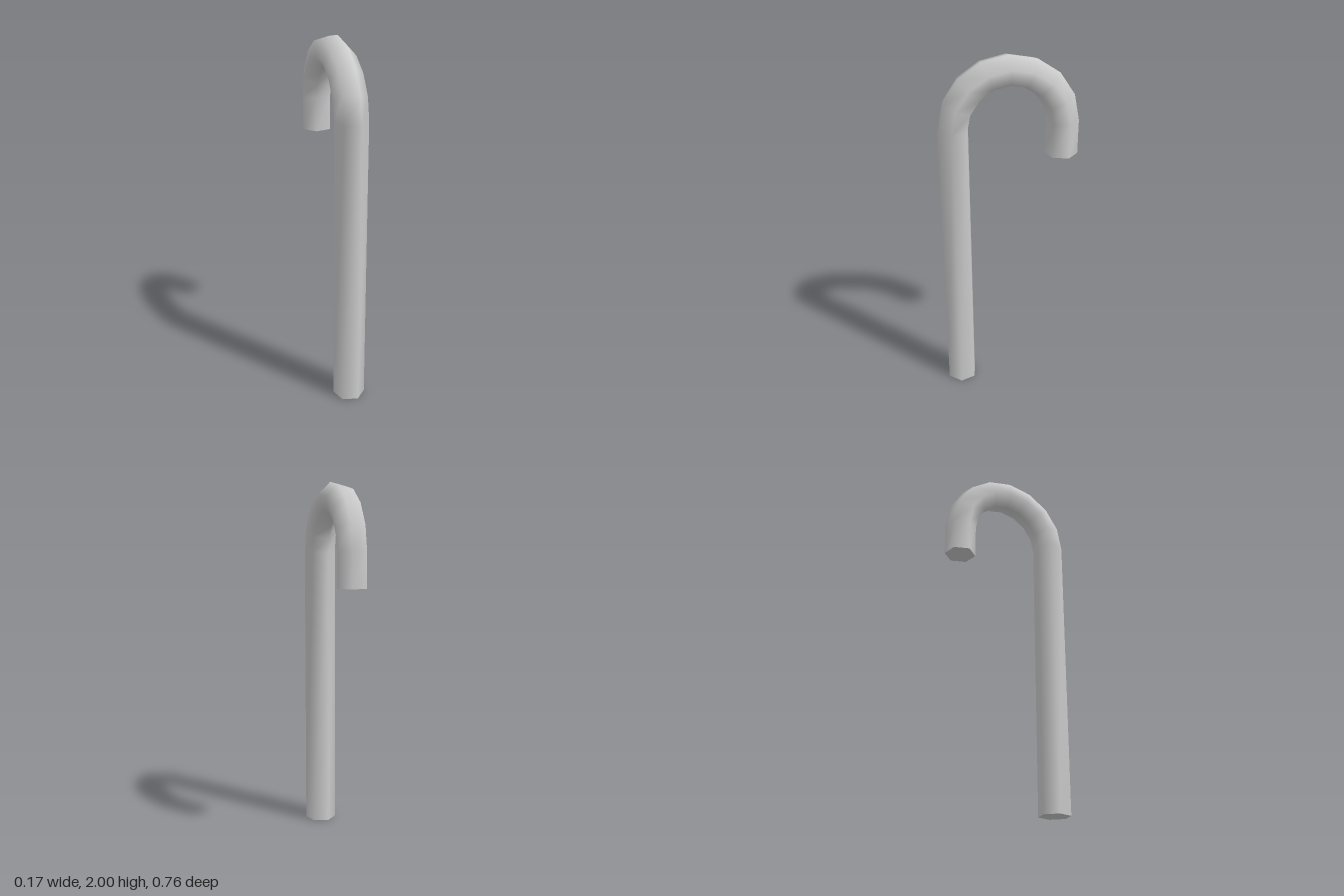
import * as THREE from 'three';

const SIDES = 6, BENDS = 8;
const TUBE_R = 0.0885, PHASE = THREE.MathUtils.degToRad(13); // hexagonal section, slightly twisted
const ARC_R = 0.294, ARC_Y = 1.62, TIP_Y = 1.43;

// One ring of the section, swung by angle t around the centre of the crook
function ring(t, y) {
  return Array.from({ length: SIDES }, (_, i) => {
    const a = PHASE + (i / SIDES) * Math.PI * 2;
    const r = ARC_R + TUBE_R * Math.sin(a);
    return [TUBE_R * Math.cos(a), y + r * Math.sin(t), r * Math.cos(t)];
  });
}

function makeGeometry(points, index) {
  const g = new THREE.BufferGeometry();
  g.setAttribute('position', new THREE.Float32BufferAttribute(points.flat(), 3));
  g.setIndex(index);
  g.computeVertexNormals();
  return g;
}

// Smooth skin joining consecutive rings
function skin(rings) {
  const index = [];
  for (let k = 0; k < rings.length - 1; k++) {
    for (let i = 0; i < SIDES; i++) {
      const j = (i + 1) % SIDES;
      const a = k * SIDES + i, b = k * SIDES + j;
      index.push(a, a + SIDES, b, b, a + SIDES, b + SIDES);
    }
  }
  return makeGeometry(rings.flat(), index);
}

// Flat cap over one ring
function cap(points) {
  const index = [];
  for (let i = 1; i < SIDES - 1; i++) index.push(0, i, i + 1);
  return makeGeometry(points, index);
}

export function createModel() {
  const group = new THREE.Group();
  group.name = 'cane';
  const material = new THREE.MeshStandardMaterial({ color: 0xcccccc });
  const add = (name, geometry) => {
    const mesh = new THREE.Mesh(geometry, material);
    mesh.name = name;
    group.add(mesh);
  };

  // Straight shaft, half-circle crook, short drop to the tip
  const rings = [ring(0, 0)];
  for (let k = 0; k <= BENDS; k++) rings.push(ring((k / BENDS) * Math.PI, ARC_Y));
  rings.push(ring(Math.PI, TIP_Y));

  add('shaftAndCrook', skin(rings));
  add('footCap', cap(rings[0]));
  add('tipCap', cap([...rings[rings.length - 1]].reverse()));
  return group;
}
